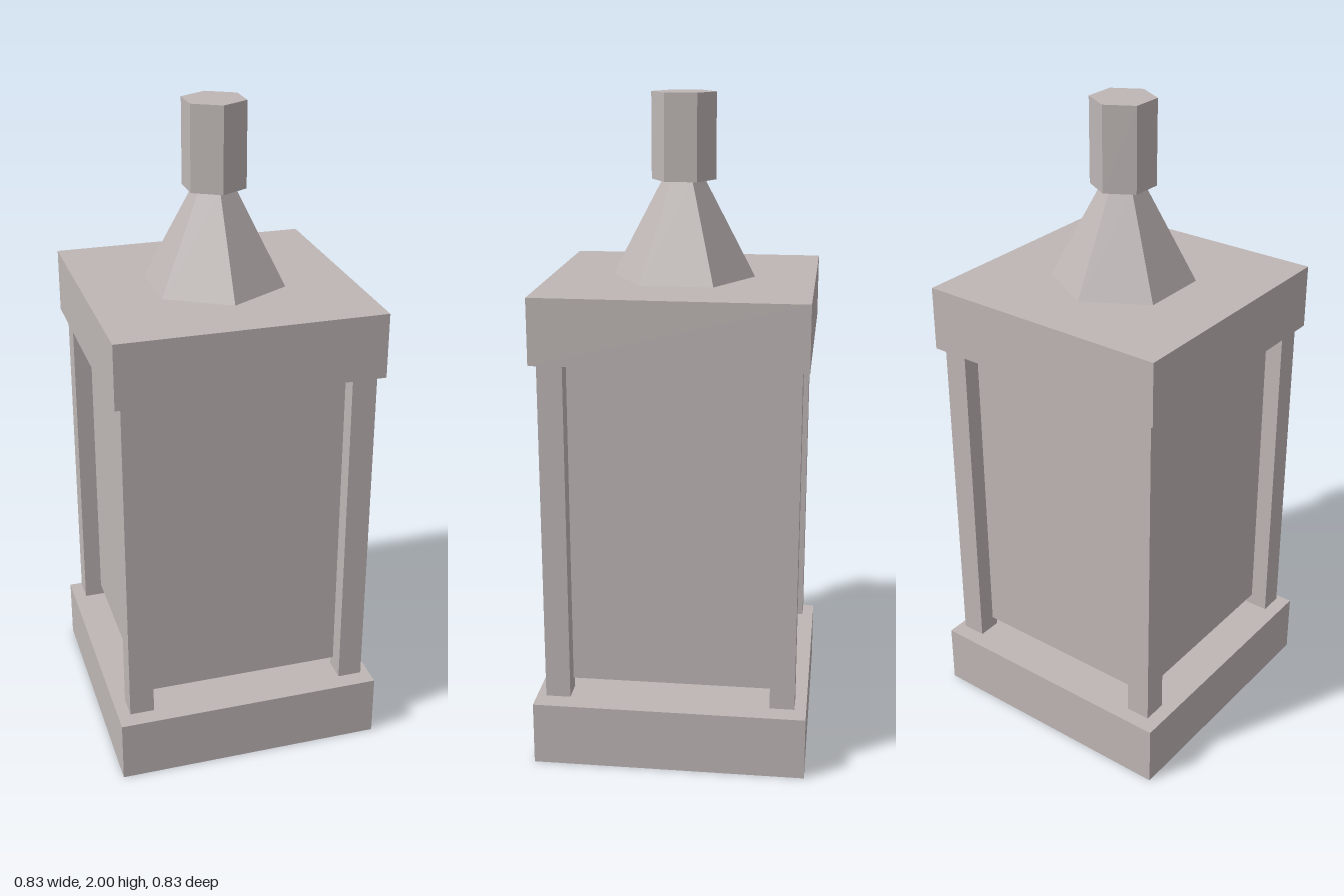
import * as THREE from 'three';

export function createModel() {
  const model = new THREE.Group();
  model.name = 'lantern';

  const stone = new THREE.MeshStandardMaterial({ color: 0xbeb6b5, flatShading: true });
  stone.name = 'warm grey';

  function add(name, geometry, x, y, z) {
    const mesh = new THREE.Mesh(geometry, stone);
    mesh.name = name;
    mesh.position.set(x, y, z);
    model.add(mesh);
  }

  // Square block of a given width between two heights
  function block(name, width, bottom, top, x = 0, z = 0) {
    add(name, new THREE.BoxGeometry(width, top - bottom, width), x, (bottom + top) / 2, z);
  }

  // Six-sided tapering part between two heights
  function hexagon(name, topRadius, bottomRadius, bottom, top) {
    add(name, new THREE.CylinderGeometry(topRadius, bottomRadius, top - bottom, 6),
      0, (bottom + top) / 2, 0);
  }

  block('base', 0.83, 0, 0.195);
  block('body', 0.65, 0.247, 1.245);
  block('cap', 0.8, 1.258, 1.455);

  // Corner posts, standing slightly clear of the base
  for (const x of [-1, 1]) {
    for (const z of [-1, 1]) {
      block('cornerPost', 0.075, 0.21, 1.258, x * 0.3425, z * 0.3425);
    }
  }

  // Hexagonal spire and finial
  hexagon('spire', 0.064, 0.217, 1.455, 1.745);
  hexagon('finial', 0.097, 0.097, 1.745, 2);

  return model;
}
